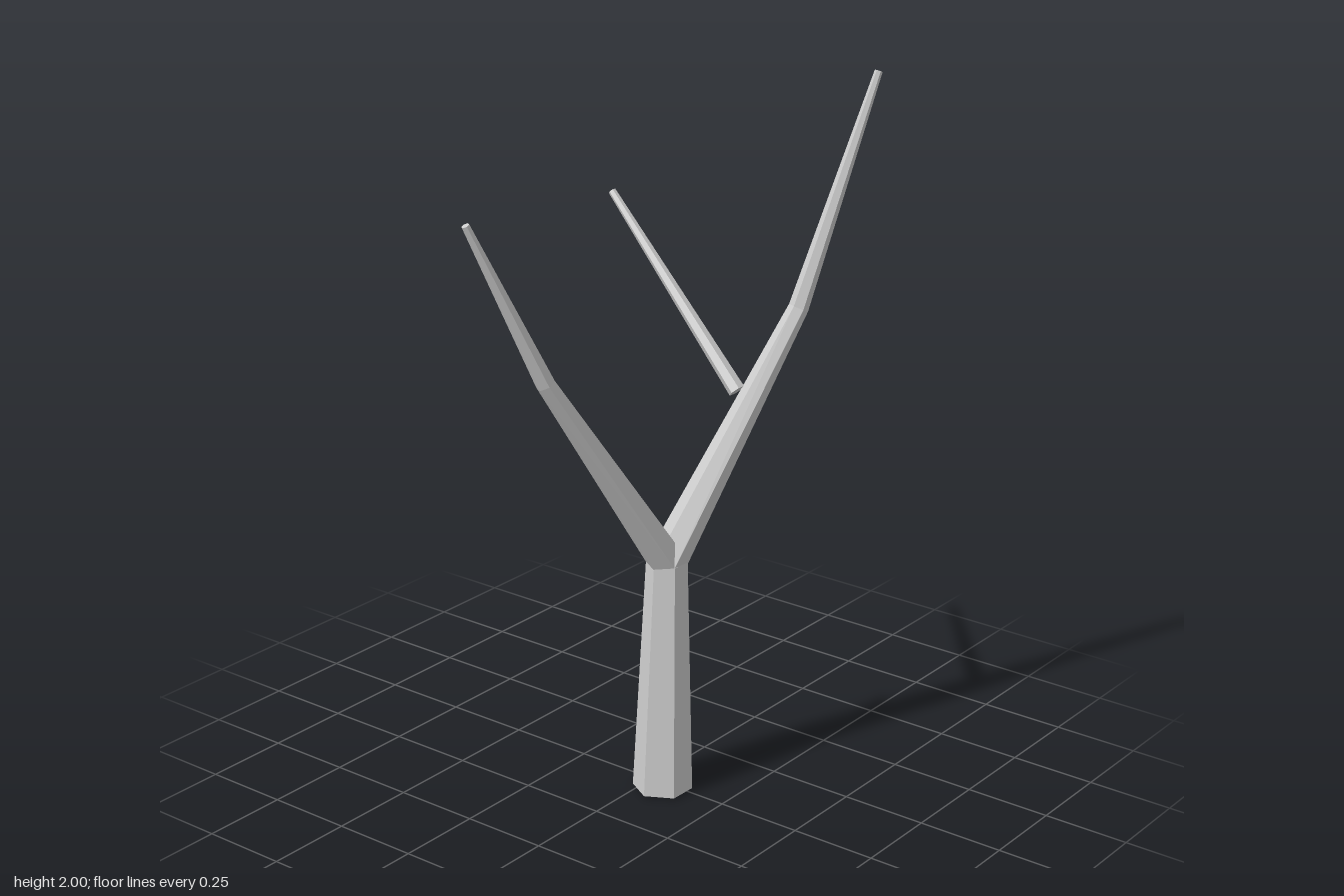
import * as THREE from 'three';

const SIDES = 6;
const V = (x, y, z) => new THREE.Vector3(x, y, z);

// Faceted tapering limb through points [x, y, z, radius]; optional first ring direction
function limb(points, startDir) {
  const centers = points.map(p => V(p[0], p[1], p[2]));
  const last = points.length - 1;
  const dir = i => centers[i + 1].clone().sub(centers[i]).normalize();
  const rings = centers.map((c, i) => {
    let t;
    if (i === 0) t = startDir || dir(0);
    else if (i === last) t = dir(last - 1);
    else t = dir(i - 1).add(dir(i)).normalize();
    // Ring frame: one corner follows the x axis
    const u = V(1, 0, 0).addScaledVector(t, -t.x).normalize();
    const w = u.clone().cross(t);
    return Array.from({ length: SIDES }, (_, k) => {
      const a = (k / SIDES) * Math.PI * 2;
      return c.clone()
        .addScaledVector(u, Math.cos(a) * points[i][3])
        .addScaledVector(w, Math.sin(a) * points[i][3]);
    });
  });
  const pos = [];
  const tri = (...vs) => vs.forEach(v => pos.push(v.x, v.y, v.z));
  for (let k = 0; k < SIDES; k++) {
    const n = (k + 1) % SIDES;
    for (let i = 0; i < last; i++) {
      const a = rings[i][k], b = rings[i][n], c = rings[i + 1][n], d = rings[i + 1][k];
      tri(a, c, b);
      tri(a, d, c);
    }
    // End caps
    tri(centers[0], rings[0][k], rings[0][n]);
    tri(centers[last], rings[last][n], rings[last][k]);
  }
  const geo = new THREE.BufferGeometry();
  geo.setAttribute('position', new THREE.Float32BufferAttribute(pos, 3));
  geo.computeVertexNormals();
  return geo;
}

export function createModel() {
  const group = new THREE.Group();
  group.name = 'bareTree';
  const bark = new THREE.MeshStandardMaterial({ color: 0xcccccc, flatShading: true });
  bark.name = 'greyBark';

  const add = (name, points, startDir) => {
    const mesh = new THREE.Mesh(limb(points, startDir), bark);
    mesh.name = name;
    group.add(mesh);
  };

  // Trunk
  add('trunk', [[-0.02, 0.003, 0.054, 0.085], [-0.003, 0.69, 0.055, 0.058]]);

  // Two bent main branches, their first rings nearly level with the trunk top
  add('leftBranch',
    [[-0.003, 0.69, 0.055, 0.057], [0.37, 1.36, 0.22, 0.028], [0.567, 1.997, 0.329, 0.011]],
    V(0.2, 0.95, 0.08).normalize());
  add('rightBranch',
    [[-0.003, 0.69, 0.055, 0.057], [-0.372, 1.282, -0.06, 0.027], [-0.567, 1.737, -0.15, 0.011]],
    V(-0.2, 0.95, -0.06).normalize());

  // Small twig reaching backward
  add('backTwig', [[0.219, 1.14, 0.125, 0.024], [0.239, 1.626, -0.327, 0.011]]);

  return group;
}
